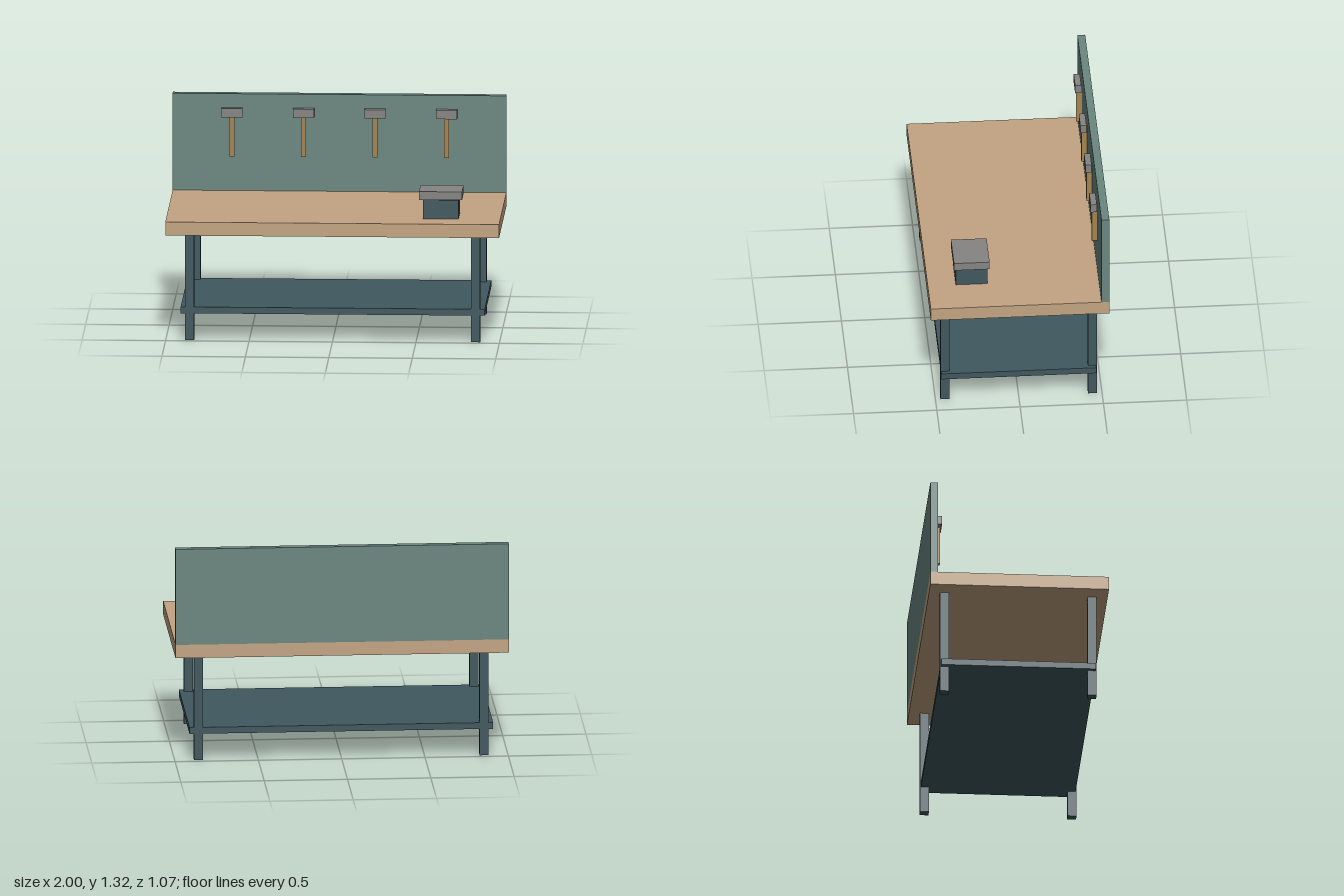
import * as THREE from 'three';

const material = (name, color) => {
  const m = new THREE.MeshStandardMaterial({ color });
  m.name = name;
  return m;
};

export function createModel() {
  const bench = new THREE.Group();
  bench.name = 'workbench';

  const wood = material('light wood', 0xc2a482);
  const steel = material('dark blue steel', 0x40585f);
  const board = material('grey green board', 0x6a8680);
  const metal = material('grey metal', 0x858483);
  const handleWood = material('handle wood', 0xa3844e);

  // Box given by its extent along each axis
  const box = (parent, name, mat, [x0, x1], [y0, y1], [z0, z1]) => {
    const mesh = new THREE.Mesh(new THREE.BoxGeometry(x1 - x0, y1 - y0, z1 - z0), mat);
    mesh.position.set((x0 + x1) / 2, (y0 + y1) / 2, (z0 + z1) / 2);
    mesh.name = name;
    parent.add(mesh);
  };

  // Worktop, back panel and lower shelf
  box(bench, 'worktop', wood, [-1, 1], [0.648, 0.73], [-0.536, 0.536]);
  box(bench, 'backPanel', board, [-1, 1], [0.73, 1.32], [-0.536, -0.489]);
  box(bench, 'lowerShelf', steel, [-0.911, 0.911], [0.161, 0.2], [-0.464, 0.464]);

  // Four square legs
  for (const x of [-0.857, 0.857]) {
    for (const z of [-0.443, 0.443]) {
      box(bench, z > 0 ? 'frontLeg' : 'backLeg', steel,
        [x - 0.027, x + 0.027], [0, 0.648], [z - 0.027, z + 0.027]);
    }
  }

  // Hammers hung in a row on the panel
  for (const x of [-0.643, -0.214, 0.214, 0.643]) {
    const hammer = new THREE.Group();
    hammer.name = 'hammer';
    hammer.position.x = x;
    box(hammer, 'hammerHandle', handleWood, [-0.014, 0.014], [0.945, 1.2], [-0.489, -0.455]);
    box(hammer, 'hammerHead', metal, [-0.063, 0.063], [1.183, 1.237], [-0.482, -0.445]);
    bench.add(hammer);
  }

  // Block with an overhanging cap on the worktop
  const vise = new THREE.Group();
  vise.name = 'vise';
  box(vise, 'viseBase', steel, [0.536, 0.75], [0.73, 0.844], [0.177, 0.368]);
  box(vise, 'viseCap', metal, [0.514, 0.772], [0.848, 0.898], [0.166, 0.38]);
  bench.add(vise);

  return bench;
}
